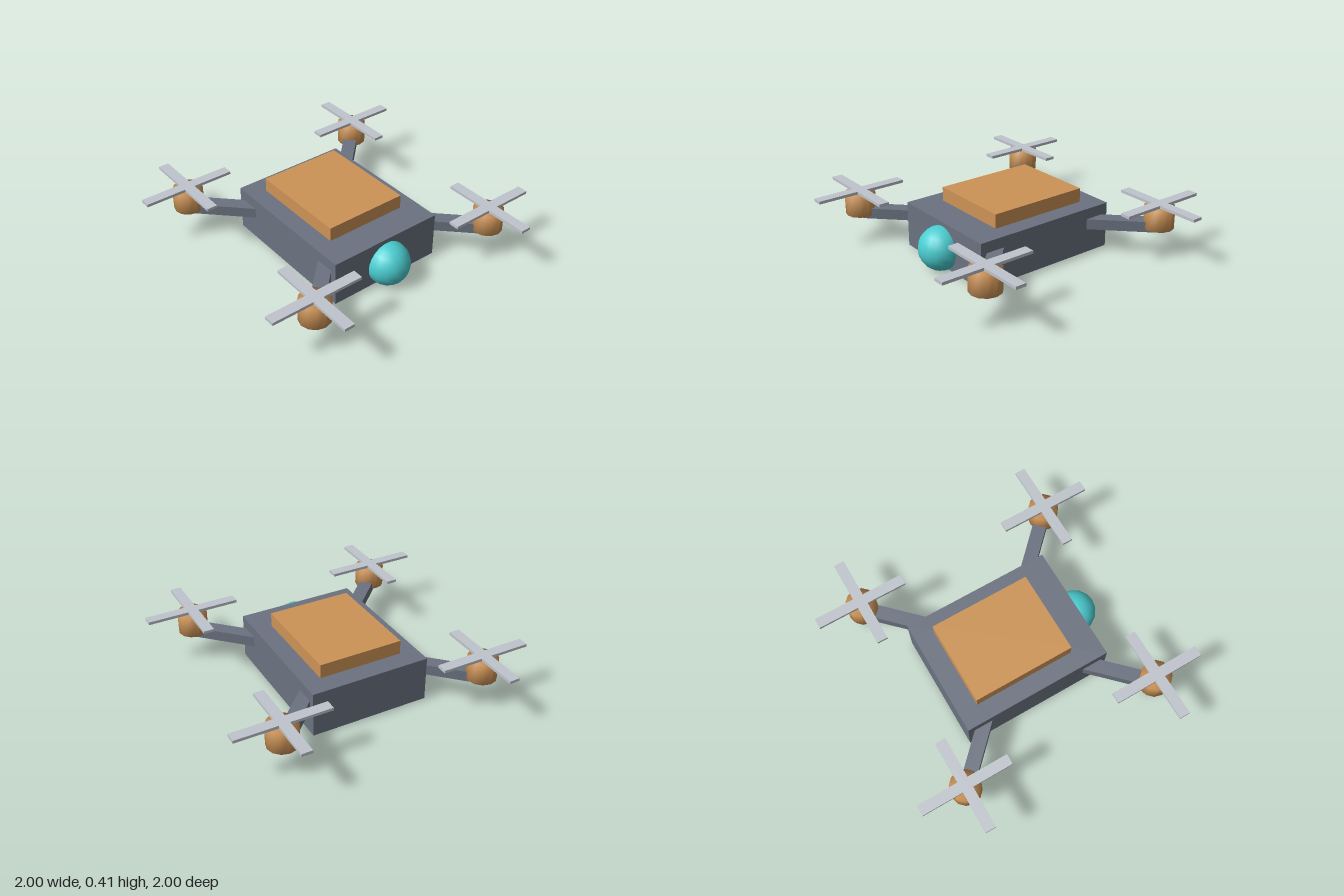
import * as THREE from 'three';
import { mergeVertices } from 'three/addons/utils/BufferGeometryUtils.js';

const material = (name, color) => {
  const m = new THREE.MeshStandardMaterial({ color });
  m.name = name;
  return m;
};

export function createModel() {
  const grey = material('slate grey', 0x6b7280);
  const orange = material('copper orange', 0xcd9356);
  const teal = material('lens teal', 0x4bcdd1);
  const silver = material('blade silver', 0xc0c4cc);

  const model = new THREE.Group();
  model.name = 'drone';

  const add = (parent, name, geometry, mat, x, y, z) => {
    const mesh = new THREE.Mesh(geometry, mat);
    mesh.name = name;
    mesh.position.set(x, y, z);
    parent.add(mesh);
    return mesh;
  };

  // Hull, raised top plate and camera ball
  add(model, 'body', new THREE.BoxGeometry(0.8, 0.304, 1.014), grey, 0, 0.165, 0);
  add(model, 'topPlate', new THREE.BoxGeometry(0.564, 0.094, 0.685), orange, 0, 0.364, -0.035);
  add(model, 'camera', new THREE.SphereGeometry(0.144, 16, 12), teal, 0, 0.147, 0.523);

  // Motor can, with normals blended softly over the rims
  let motor = new THREE.CylinderGeometry(0.1, 0.1, 0.145, 12);
  motor.deleteAttribute('normal');
  motor.deleteAttribute('uv');
  motor = mergeVertices(motor);
  motor.computeVertexNormals();

  const armGeometry = new THREE.BoxGeometry(0.092, 0.07, 0.6);
  const bladeGeometry = new THREE.BoxGeometry(0.62, 0.019, 0.07);

  // One diagonal arm, motor and crossed rotor at each corner
  for (const sx of [-1, 1]) {
    for (const sz of [-1, 1]) {
      const rotor = new THREE.Group();
      rotor.name = (sz > 0 ? 'front' : 'back') + (sx > 0 ? 'Left' : 'Right') + 'Rotor';
      model.add(rotor);

      const arm = add(rotor, 'arm', armGeometry, grey, sx * 0.462, 0.21, sz * 0.462);
      arm.rotation.y = Math.atan2(sx, sz);
      add(rotor, 'motor', motor, orange, sx * 0.69, 0.271, sz * 0.69);
      add(rotor, 'bladeAcross', bladeGeometry, silver, sx * 0.69, 0.353, sz * 0.69);
      add(rotor, 'bladeAlong', bladeGeometry, silver, sx * 0.69, 0.353, sz * 0.69).rotation.y = Math.PI / 2;
    }
  }
  return model;
}
